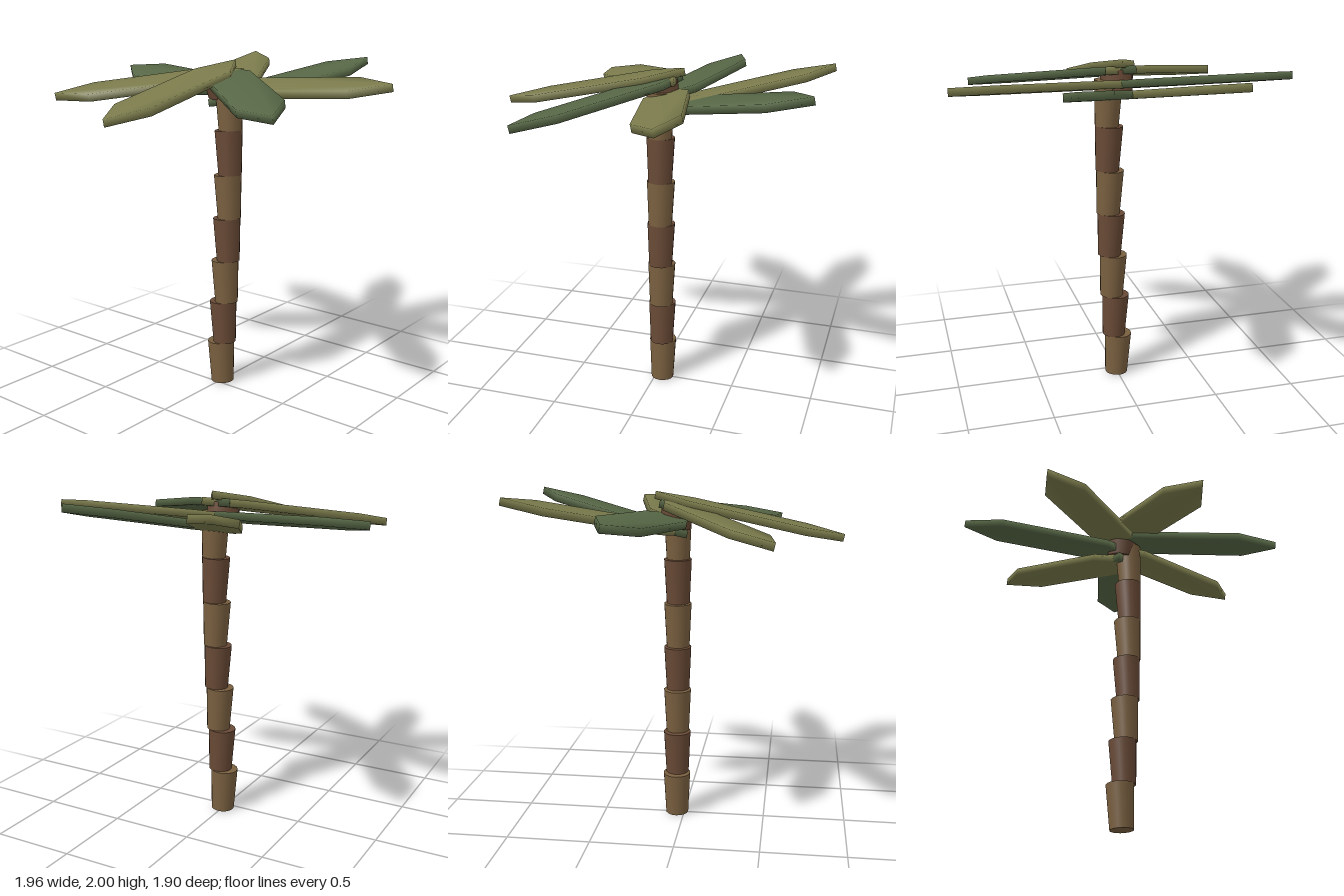
import * as THREE from 'three';
import { mergeVertices } from 'three/addons/utils/BufferGeometryUtils.js';

const material = (color) => new THREE.MeshStandardMaterial({ color });

// Long six-cornered leaf blade lying along z, with softly blended normals
function leafGeometry() {
  const half = 0.56, shoulder = 0.34, width = 0.13, thick = 0.045;
  const outline = new THREE.Shape([
    [0, half], [-width, shoulder], [-width, -shoulder],
    [0, -half], [width, -shoulder], [width, shoulder],
  ].map(([x, y]) => new THREE.Vector2(x, y)));
  const blade = new THREE.ExtrudeGeometry(outline, { depth: thick, bevelEnabled: false });
  blade.translate(0, 0, -thick / 2).rotateX(Math.PI / 2);
  blade.deleteAttribute('normal');
  blade.deleteAttribute('uv');
  const smooth = mergeVertices(blade);
  smooth.computeVertexNormals();
  return smooth;
}

export function createModel() {
  const palm = new THREE.Group();
  palm.name = 'palmTree';

  // Trunk: flared segments stacked along a slight curve
  const barks = [material(0x7a6040), material(0x694a36)];
  const step = 0.267;
  const segment = new THREE.CylinderGeometry(0.083, 0.07, step, 16);
  const centres = [-0.002, 0.014, 0.028, 0.041, 0.048, 0.053, 0.055];
  centres.forEach((x, i) => {
    const mesh = new THREE.Mesh(segment, barks[i % 2]);
    mesh.name = 'trunkSegment' + (i + 1);
    mesh.position.set(x, step * (i + 0.5) + 0.003, -0.045);
    mesh.rotation.z = 0.045;
    palm.add(mesh);
  });

  // Hub where the leaves meet
  const hub = new THREE.Mesh(new THREE.CylinderGeometry(0.1, 0.09, 0.12, 8), barks[1]);
  hub.name = 'crownHub';
  hub.position.set(0, 1.86, -0.045);
  hub.rotation.x = 0.21;
  palm.add(hub);

  // Crown: seven leaves in a ring, each tipped forward about its own middle
  const greens = [material(0x7a7a4c), material(0x566645)];
  const blade = leafGeometry();
  const count = 7, reach = 0.445;
  for (let i = 0; i < count; i++) {
    const yaw = (i / count) * Math.PI * 2;
    const leaf = new THREE.Mesh(blade, greens[i % 2]);
    leaf.name = 'leaf' + (i + 1);
    leaf.position.set(reach * Math.sin(yaw), 1.866, -0.07 + reach * Math.cos(yaw));
    leaf.rotation.set(0.21, yaw, 0);
    palm.add(leaf);
  }
  return palm;
}
